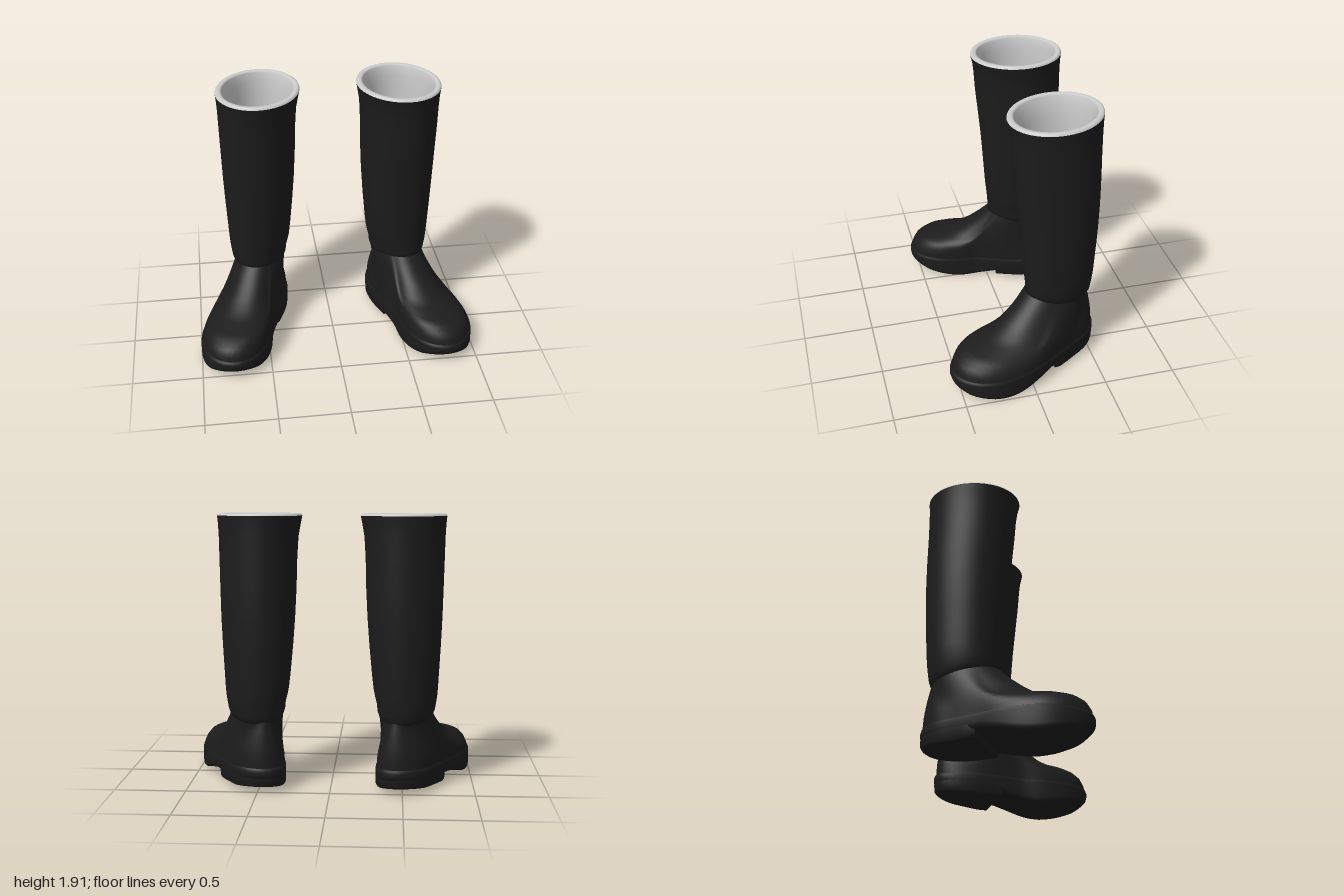
import * as THREE from 'three';
import { toCreasedNormals } from 'three/addons/utils/BufferGeometryUtils.js';

const N = 64;
const TURN = 0.32; // toes point outwards
const DIR = new THREE.Vector2(Math.sin(TURN), Math.cos(TURN)); // 2D points are (x, z)
const SIDE = new THREE.Vector2(Math.cos(TURN), -Math.sin(TURN));
const ANKLE = new THREE.Vector2(0.52, -0.27);
const lerp = THREE.MathUtils.lerp;
const smooth = THREE.MathUtils.smoothstep;

const leather = new THREE.MeshStandardMaterial({ color: 0x1c1c1c, side: THREE.DoubleSide });
const grey = new THREE.MeshStandardMaterial({ color: 0xcccccc, side: THREE.DoubleSide });

// Piecewise linear lookup in [key, value] pairs with rising keys
function table(rows, k) {
  if (k <= rows[0][0]) return rows[0][1];
  for (let i = 1; i < rows.length; i++) {
    const [a, va] = rows[i - 1], [b, vb] = rows[i];
    if (k <= b) return lerp(va, vb, (k - a) / (b - a));
  }
  return rows[rows.length - 1][1];
}

// Skin closed rings, ordered bottom to top on the outside; m = -1 mirrors in x
function loft(rings, m) {
  const pos = [], index = [];
  rings.forEach(r => r.forEach(p => pos.push(p.x * m, p.y, p.z)));
  for (let i = 0; i < rings.length - 1; i++) {
    for (let j = 0; j < N; j++) {
      const a = i * N + j, b = i * N + (j + 1) % N, c = a + N, d = b + N;
      if (m > 0) index.push(a, b, c, b, d, c);
      else index.push(a, c, b, b, c, d);
    }
  }
  const g = new THREE.BufferGeometry();
  g.setAttribute('position', new THREE.Float32BufferAttribute(pos, 3));
  g.setIndex(index);
  g.computeVertexNormals();
  return g;
}

// Turned ellipse that fills the given extents; returns a point for a foot angle
function ellipse([x0, x1, z0, z1], inset = 0) {
  const X = (x1 - x0) / 2 - inset, Z = (z1 - z0) / 2 - inset;
  const sum = X * X + Z * Z, diff = (Z * Z - X * X) / Math.cos(2 * TURN);
  const a = Math.sqrt((sum + diff) / 2), b = Math.sqrt((sum - diff) / 2);
  const c = new THREE.Vector2((x0 + x1) / 2, (z0 + z1) / 2);
  return t => c.clone().addScaledVector(DIR, a * Math.cos(t)).addScaledVector(SIDE, b * Math.sin(t));
}

// Footprint, from the toe round the outer side to the heel and back
const outline = new THREE.CatmullRomCurve3([
  [0.75, 0.56], [0.87, 0.53], [0.965, 0.42], [1.0, 0.27], [0.98, 0.12], [0.92, -0.03], [0.83, -0.18],
  [0.74, -0.33], [0.65, -0.47], [0.55, -0.54], [0.45, -0.56], [0.36, -0.52], [0.315, -0.42], [0.33, -0.25],
  [0.4, -0.06], [0.46, 0.08], [0.485, 0.24], [0.54, 0.4], [0.63, 0.51],
].map(([x, z]) => new THREE.Vector3(x, 0, z)), true)
  .getSpacedPoints(N).slice(0, N).map(p => new THREE.Vector2(p.x, p.z));

const MID = new THREE.Vector2(0.65, 0);
const soleTop = z => table([[-0.56, 0.185], [-0.1, 0.17], [0.56, 0.155]], z);
const soleBottom = z => table([[-0.56, 0.1], [-0.15, 0.075], [-0.05, 0.05], [0.05, 0.02],
  [0.12, 0.006], [0.2, 0], [0.3, 0.006], [0.45, 0.03], [0.56, 0.07]], z);
const heelBottom = z => table([[-0.56, 0.055], [-0.45, 0.037], [-0.3, 0.025], [-0.1, 0.02]], z);

// Footprint ring pulled towards a centre by a fraction, with its height set by a rule
const footRing = (shape, centre, f, height) => shape.map(p => {
  const q = p.clone().lerp(centre, f);
  return new THREE.Vector3(q.x, height(q.y), q.y);
});

function sole(m) {
  const rings = [1, 0.8, 0.6, 0.4, 0.2, 0.05].map(f => footRing(outline, MID, f, soleBottom));
  rings.push(footRing(outline, MID, 0.012, z => soleBottom(z) + 0.012));
  rings.push(footRing(outline, MID, 0, z => soleBottom(z) + 0.035));
  rings.push(footRing(outline, MID, 0, z => soleTop(z) - 0.025));
  rings.push(footRing(outline, MID, 0.012, z => soleTop(z) - 0.006));
  [0.04, 0.5, 1].forEach(f => rings.push(footRing(outline, MID, f, soleTop)));
  return loft(rings, m);
}

// Heel block: the back of the footprint, cut straight across
function heel(m) {
  const cut = outline.map(p => {
    const s = p.clone().sub(ANKLE).dot(DIR);
    if (s <= 0.17) return p.clone();
    const t = THREE.MathUtils.clamp(p.clone().sub(ANKLE).dot(SIDE), -0.165, 0.245);
    return ANKLE.clone().addScaledVector(DIR, 0.17).addScaledVector(SIDE, t);
  });
  const c = new THREE.Vector2(0.52, -0.3);
  const rings = [1, 0.6, 0.3, 0.06].map(f => footRing(cut, c, f, heelBottom));
  rings.push(footRing(cut, c, 0.015, z => heelBottom(z) + 0.015));
  rings.push(footRing(cut, c, 0.005, () => 0.115));
  return toCreasedNormals(loft(rings, m), 0.8);
}

// Upper: each footprint point climbs to the ankle; [inward, upward] shares for toe, side and heel
const CLIMB = {
  toe: [[0, 0], [0.01, 0.1], [0.05, 0.21], [0.12, 0.29], [0.22, 0.34], [0.42, 0.39], [0.56, 0.47], [0.7, 0.61], [0.85, 0.79], [1, 1]],
  side: [[0, 0], [0.03, 0.08], [0.08, 0.15], [0.17, 0.22], [0.3, 0.29], [0.45, 0.36], [0.6, 0.46], [0.75, 0.61], [0.9, 0.81], [1, 1]],
  heel: [[0, 0], [0.02, 0.1], [0.05, 0.2], [0.1, 0.3], [0.2, 0.42], [0.33, 0.54], [0.48, 0.66], [0.66, 0.79], [0.84, 0.9], [1, 1]],
};
function upper(m) {
  const ankle = ellipse([0.335, 0.705, -0.5, -0.035]);
  const rings = CLIMB.toe.map(() => []);
  outline.forEach(o => {
    const p = o.clone().lerp(MID, 0.025);
    const d = p.clone().sub(ANKLE);
    const t = Math.atan2(d.dot(SIDE), d.dot(DIR));
    const top = ankle(t + 0.8 * Math.sin(t));
    const toe = smooth(Math.cos(t), 0.88, 1), fore = smooth(p.distanceTo(top), 0.1, 0.4);
    rings.forEach((ring, i) => {
      const [f, g] = [0, 1].map(k =>
        lerp(CLIMB.heel[i][k], lerp(CLIMB.side[i][k], CLIMB.toe[i][k], toe), fore));
      const q = p.clone().lerp(top, f);
      const y = lerp(soleTop(p.y) - 0.01, 0.535 + 0.1 * (top.y - ANKLE.y), g);
      ring.push(new THREE.Vector3(q.x, y, q.y));
    });
  });
  return loft(rings, m);
}

// Shaft sections: height, tilt, then x and z extents
const SHAFT = [
  [0.5, 0.13, 0.36, 0.69, -0.48, -0.07], [0.525, 0.13, 0.335, 0.712, -0.505, -0.042],
  [0.56, 0.12, 0.323, 0.725, -0.515, -0.037], [0.61, 0.1, 0.318, 0.733, -0.522, -0.033],
  [0.65, 0.08, 0.307, 0.738, -0.528, -0.03], [0.7, 0.05, 0.296, 0.742, -0.533, -0.025],
  [0.8, 0, 0.284, 0.747, -0.54, -0.015], [1, 0, 0.265, 0.757, -0.55, 0],
  [1.2, 0, 0.25, 0.765, -0.555, 0.015], [1.4, 0, 0.24, 0.77, -0.555, 0.035],
  [1.6, 0, 0.235, 0.775, -0.551, 0.055], [1.75, -0.01, 0.226, 0.778, -0.55, 0.066],
  [1.83, -0.02, 0.212, 0.782, -0.551, 0.076], [1.89, -0.03, 0.2, 0.788, -0.555, 0.09],
];
function shaftRing([y, tilt, ...box], inset = 0, lift = 0) {
  const e = ellipse(box, inset);
  return Array.from({ length: N }, (_, j) => {
    const p = e(j / N * Math.PI * 2);
    return new THREE.Vector3(p.x, y + lift + tilt * (p.y + 0.25), p.y);
  });
}
const shaft = m => loft(SHAFT.map(s => shaftRing(s)), m);

// Pale rim rolled over the top, running down inside as the lining
function lining(m) {
  const top = SHAFT[SHAFT.length - 1];
  const rings = [[0, 0], [0.004, 0.01], [0.014, 0.016], [0.036, 0.014], [0.046, 0.004]]
    .map(([inset, lift]) => shaftRing(top, inset, lift));
  SHAFT.slice(1, -1).reverse().forEach(s => rings.push(shaftRing(s, 0.05)));
  return loft(rings, m);
}

export function createModel() {
  const model = new THREE.Group();
  model.name = 'boots';
  for (const [name, m] of [['leftBoot', 1], ['rightBoot', -1]]) {
    const boot = new THREE.Group();
    boot.name = name;
    const parts = { sole: sole(m), heel: heel(m), upper: upper(m), shaft: shaft(m), lining: lining(m) };
    for (const [part, geometry] of Object.entries(parts)) {
      const mesh = new THREE.Mesh(geometry, part === 'lining' ? grey : leather);
      mesh.name = part;
      boot.add(mesh);
    }
    model.add(boot);
  }
  return model;
}
